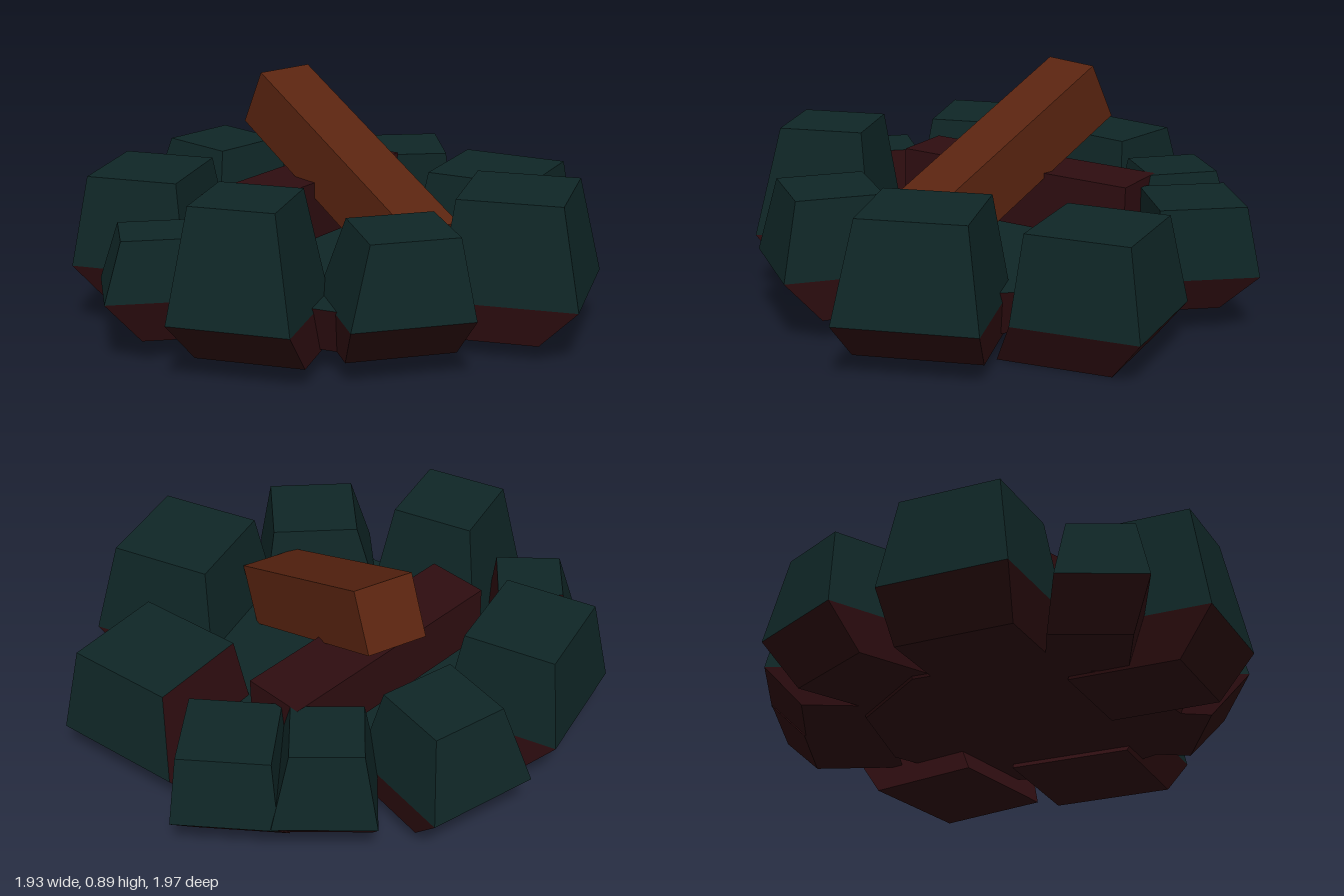
import * as THREE from 'three';

const stoneTeal = new THREE.MeshStandardMaterial({ color: 0x0f2626 });
stoneTeal.name = 'dark teal';
const emberRed = new THREE.MeshStandardMaterial({ color: 0x2e0d10 });
emberRed.name = 'dark red';
const barkBrown = new THREE.MeshStandardMaterial({ color: 0x5a2410 });
barkBrown.name = 'rust brown';

// A four-sided ring, counter-clockwise from above, turned by angle in the ground plane
function ring(x, z, w, d, angle, y) {
  const c = Math.cos(angle);
  const s = Math.sin(angle);
  return [[-1, -1], [-1, 1], [1, 1], [1, -1]].map(([i, j]) => {
    const u = (i * w) / 2;
    const v = (j * d) / 2;
    return new THREE.Vector3(x + u * c - v * s, y, z + u * s + v * c);
  });
}

// A stone tapers up to a smaller top and down to a base pulled toward the centre.
// size is the widest width and depth, heights are base, widest line and top,
// shift moves the top sideways, red lists the upper side faces that are red.
function stone(name, [x, z], size, angle, heights, taper, shift, red = []) {
  const [w, d] = size;
  const [yBase, yMid, yTop] = heights;
  const pull = 1 - 0.12 / Math.hypot(x, z);
  const b = ring(x * pull, z * pull, w * 0.9, d * 0.9, angle, yBase);
  const m = ring(x, z, w, d, angle, yMid);
  const t = ring(x + shift[0], z + shift[1], w * taper, d * taper, angle, yTop);

  const points = [];
  const geometry = new THREE.BufferGeometry();
  const quad = (p, q, r, s, material) => {
    geometry.addGroup(points.length, 6, material);
    points.push(p, q, r, p, r, s);
  };
  for (let i = 0; i < 4; i++) {
    const j = (i + 1) % 4;
    quad(b[i], b[j], m[j], m[i], 1);
    quad(m[i], m[j], t[j], t[i], red.includes(i) ? 1 : 0);
  }
  quad(t[0], t[1], t[2], t[3], 0);
  quad(b[3], b[2], b[1], b[0], 1);
  geometry.setFromPoints(points);
  geometry.computeVertexNormals();

  const mesh = new THREE.Mesh(geometry, [stoneTeal, emberRed]);
  mesh.name = name;
  return mesh;
}

function log(name, size, material, position, rotation) {
  const mesh = new THREE.Mesh(new THREE.BoxGeometry(...size), material);
  mesh.name = name;
  mesh.position.set(...position);
  mesh.rotation.set(...rotation, 'YXZ');
  return mesh;
}

export function createModel() {
  const group = new THREE.Group();
  group.name = 'firePit';

  // Ring of chunky stones
  group.add(
    stone('backRightStone', [-0.395, -0.72], [0.37, 0.38], 0.71, [0.09, 0.22, 0.48], 0.87, [0.02, 0.015]),
    stone('rightBackStone', [-0.6, -0.46], [0.38, 0.37], 0.62, [0.09, 0.23, 0.51], 0.7, [0, 0.01]),
    stone('rightStone', [-0.75, -0.045], [0.44, 0.43], 0, [0.09, 0.24, 0.56], 0.68, [0, -0.02]),
    stone('rightFrontStone', [-0.587, 0.46], [0.45, 0.49], -0.47, [0.08, 0.24, 0.575], 0.78, [0, 0]),
    stone('smallFrontStone', [-0.27, 0.757], [0.33, 0.32], -0.92, [0.08, 0.24, 0.46], 0.74, [0.015, -0.017], [2, 3]),
    stone('frontStone', [0.143, 0.653], [0.45, 0.46], -0.48, [0.07, 0.23, 0.64], 0.7, [-0.015, -0.01]),
    stone('leftFrontStone', [0.505, 0.285], [0.45, 0.45], 0.55, [0.08, 0.24, 0.53], 0.72, [0.015, -0.015]),
    stone('leftBackStone', [0.615, -0.27], [0.51, 0.52], -0.5, [0.06, 0.21, 0.575], 0.76, [-0.015, 0]),
    stone('backLeftStone', [0.145, -0.685], [0.51, 0.48], -0.3, [0, 0.16, 0.49], 0.81, [0.012, 0.005], [0]),
  );

  // Hearth floor: red underneath and round the edge, teal on top
  const floor = new THREE.Mesh(
    new THREE.CylinderGeometry(0.64, 0.58, 0.17, 9),
    [emberRed, stoneTeal, emberRed],
  );
  floor.name = 'hearthFloor';
  floor.position.y = 0.165;
  // Faceted sides
  const groups = floor.geometry.groups;
  floor.geometry = floor.geometry.toNonIndexed();
  groups.forEach((g) => floor.geometry.addGroup(g.start, g.count, g.materialIndex));
  floor.geometry.computeVertexNormals();
  group.add(floor);

  // Two crossed logs, the upper one leaning
  group.add(
    log('lowerLog', [0.24, 0.22, 0.96], emberRed, [-0.255, 0.41, -0.02], [-0.02, 0.17, 0]),
    log('upperLog', [0.97, 0.235, 0.23], barkBrown, [-0.05, 0.565, -0.05], [0, -0.11, -0.471]),
  );

  return group;
}
